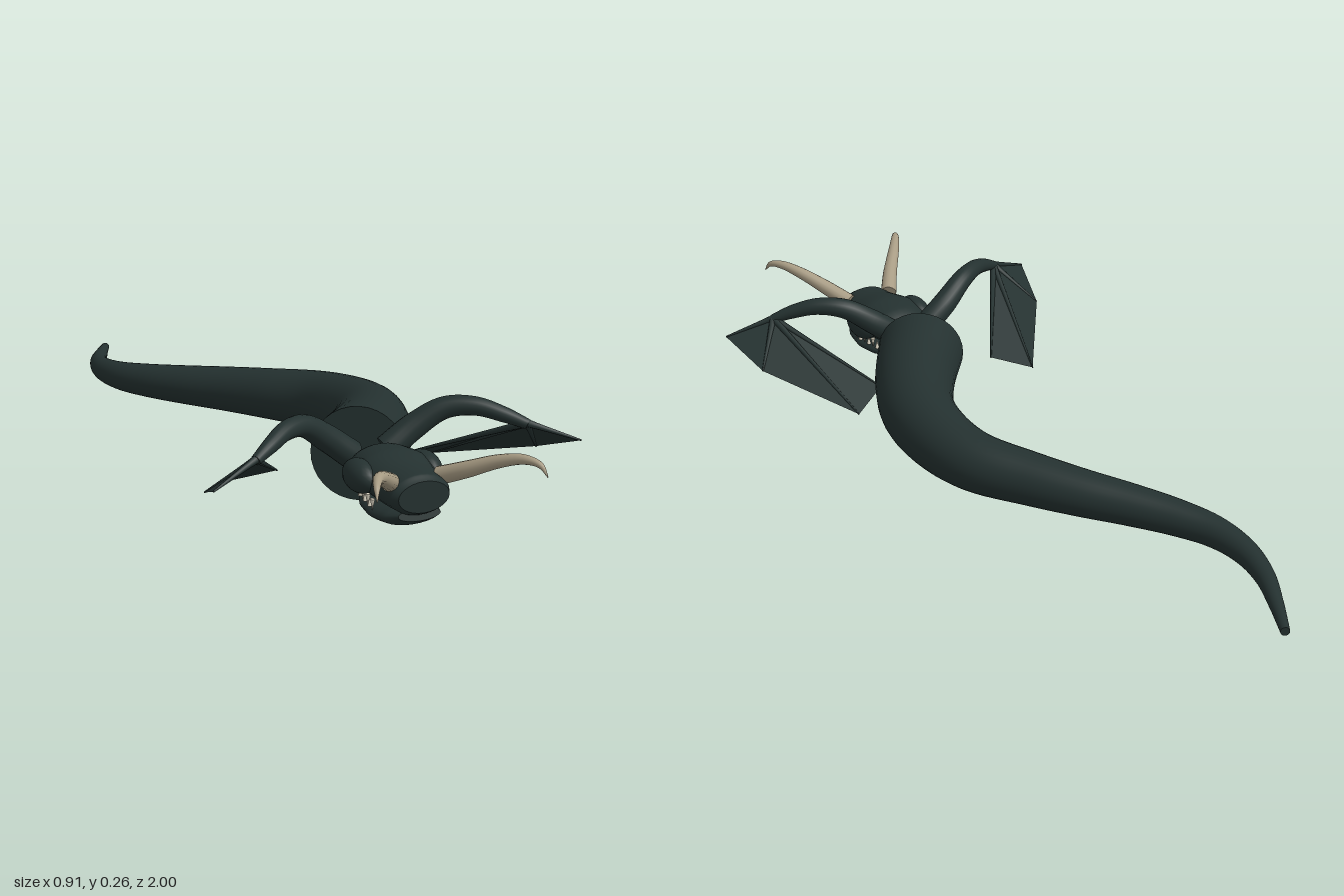
import * as THREE from 'three';

const V = (x, y, z) => new THREE.Vector3(x, y, z);

// Smooth swept skin through [x, y, z, halfWidth, halfHeight] stations, with flat end caps
function sweep(stations, steps, sides) {
  const path = new THREE.CatmullRomCurve3(stations.map((s) => V(s[0], s[1], s[2])));
  const n = stations.length - 1;
  const pos = [], index = [], centres = [];
  const size = (t, k) => {
    const f = t * n, i = Math.min(Math.floor(f), n - 1);
    const a = stations[i][k] ?? stations[i][3], b = stations[i + 1][k] ?? stations[i + 1][3];
    return a + (b - a) * (f - i);
  };
  for (let i = 0; i <= steps; i++) {
    const t = i / steps, c = path.getPoint(t), dir = path.getTangent(t);
    const side = V(0, 1, 0).cross(dir).normalize(), up = dir.clone().cross(side);
    centres.push(c);
    for (let j = 0; j < sides; j++) {
      const a = (j / sides) * Math.PI * 2;
      const p = c.clone().addScaledVector(side, Math.cos(a) * size(t, 3)).addScaledVector(up, Math.sin(a) * size(t, 4));
      pos.push(p.x, p.y, p.z);
    }
  }
  for (let i = 0; i < steps; i++) {
    for (let j = 0; j < sides; j++) {
      const a = i * sides + j, b = i * sides + ((j + 1) % sides);
      index.push(a, b, a + sides, b, b + sides, a + sides);
    }
  }
  for (const end of [0, steps]) {
    const base = pos.length / 3;
    pos.push(...pos.slice(end * sides * 3, (end + 1) * sides * 3), ...centres[end].toArray());
    for (let j = 0; j < sides; j++) {
      const k = (j + 1) % sides;
      if (end === 0) index.push(base + sides, base + k, base + j);
      else index.push(base + sides, base + j, base + k);
    }
  }
  const g = new THREE.BufferGeometry();
  g.setAttribute('position', new THREE.Float32BufferAttribute(pos, 3));
  g.setIndex(index);
  g.computeVertexNormals();
  return g;
}

export function createModel() {
  const model = new THREE.Group();
  const hide = new THREE.MeshStandardMaterial({ name: 'dark hide', color: 0x243130, side: THREE.DoubleSide });
  const horn = new THREE.MeshStandardMaterial({ name: 'horn', color: 0xa89c84 });
  const ivory = new THREE.MeshStandardMaterial({ name: 'tooth ivory', color: 0xd8d2c0 });
  const add = (name, geometry, material, parent = model) => {
    const m = new THREE.Mesh(geometry, material);
    m.name = name;
    parent.add(m);
    return m;
  };

  // Serpentine body resting on the ground, tapering evenly to the tail
  const spine = [[0.01, 0.47], [0.1, 0.34], [0.168, 0.2], [0.185, 0.06], [0.163, -0.07], [0.085, -0.2],
    [0.01, -0.31], [-0.065, -0.41], [-0.132, -0.51], [-0.175, -0.6], [-0.188, -0.7], [-0.17, -0.8],
    [-0.128, -0.9], [-0.082, -0.995]];
  add('body', sweep(spine.map(([x, z]) => {
    const r = 0.112 - (0.48 - z) * 0.0685;
    return [x, r + 0.006, z, r];
  }), 90, 32), hide);

  // Head, with its snout toward the body
  const head = new THREE.Group();
  head.name = 'head';
  model.add(head);
  add('skull', sweep([[0, 0.122, 0.82, 0.062, 0.036], [0, 0.122, 0.8, 0.072, 0.047], [0, 0.125, 0.74, 0.078, 0.051],
    [0, 0.135, 0.67, 0.092, 0.054], [0, 0.135, 0.61, 0.08, 0.048], [0, 0.13, 0.575, 0.062, 0.034]], 30, 28), hide, head);
  add('jaw', sweep([[0, 0.076, 0.8, 0.052, 0.014], [0, 0.065, 0.76, 0.07, 0.024], [0, 0.059, 0.7, 0.076, 0.024],
    [0, 0.061, 0.64, 0.068, 0.02], [0, 0.066, 0.595, 0.048, 0.012]], 24, 24), hide, head);

  for (const s of [1, -1]) {
    const name = s > 0 ? 'left' : 'right';

    // Brow and cheek swelling
    const cheek = add(name + 'Cheek', new THREE.SphereGeometry(1, 20, 14), hide, head);
    cheek.position.set(s * 0.08, 0.135, 0.665);
    cheek.scale.set(0.034, 0.038, 0.06);

    // Long horn with a hooked tip
    add(name + 'Horn', sweep([[s * 0.06, 0.15, 0.775, 0.021], [s * 0.098, 0.178, 0.835, 0.019],
      [s * 0.142, 0.208, 0.895, 0.015], [s * 0.175, 0.222, 0.945, 0.011], [s * 0.194, 0.216, 0.98, 0.007],
      [s * 0.202, 0.194, 0.998, 0.001]], 30, 14), horn, head);

    // Teeth along the mouth, alternately up and down
    for (let i = 0; i < 7; i++) {
      const z = 0.715 - i * 0.018, down = i % 2 === 0;
      const tooth = add(name + 'Tooth', new THREE.ConeGeometry(0.006, 0.026, 8), ivory, head);
      tooth.position.set(s * (0.073 - 0.003 * i), down ? 0.082 : 0.086, z);
      if (down) tooth.rotation.x = Math.PI;
    }

    // Wing: arched arm, finger bones and a fan of skin
    const wing = new THREE.Group();
    wing.name = name + 'Wing';
    model.add(wing);
    add('wingArm', sweep([[s * 0.045, 0.145, 0.545, 0.033], [s * 0.11, 0.194, 0.552, 0.031],
      [s * 0.175, 0.236, 0.575, 0.026], [s * 0.235, 0.243, 0.612, 0.022], [s * 0.29, 0.226, 0.65, 0.018],
      [s * 0.335, 0.206, 0.676, 0.012]], 36, 18), hide, wing);
    const wrist = [s * 0.335, 0.208, 0.676];
    const tips = [[s * 0.452, 0.165, 0.72], [s * 0.416, 0.115, 0.58], [s * 0.26, 0.05, 0.348], [s * 0.165, 0.08, 0.405]];
    const skin = [];
    tips.forEach((tip, i) => {
      add('wingFinger', sweep([[...wrist, 0.01], [...tip, 0.002]], 6, 8), hide, wing);
      if (i) skin.push(...wrist, ...tips[i - 1], ...tip);
    });
    const fan = new THREE.BufferGeometry();
    fan.setAttribute('position', new THREE.Float32BufferAttribute(skin, 3));
    fan.computeVertexNormals();
    add('wingMembrane', fan, hide, wing);
  }

  // Small front row of teeth at the open back of the jaw
  for (let i = -2; i <= 2; i++) {
    const tooth = add('smallTooth', new THREE.ConeGeometry(0.004, 0.014, 8), ivory, head);
    tooth.position.set(i * 0.018, 0.082, 0.592);
    tooth.rotation.x = Math.PI;
  }
  return model;
}
